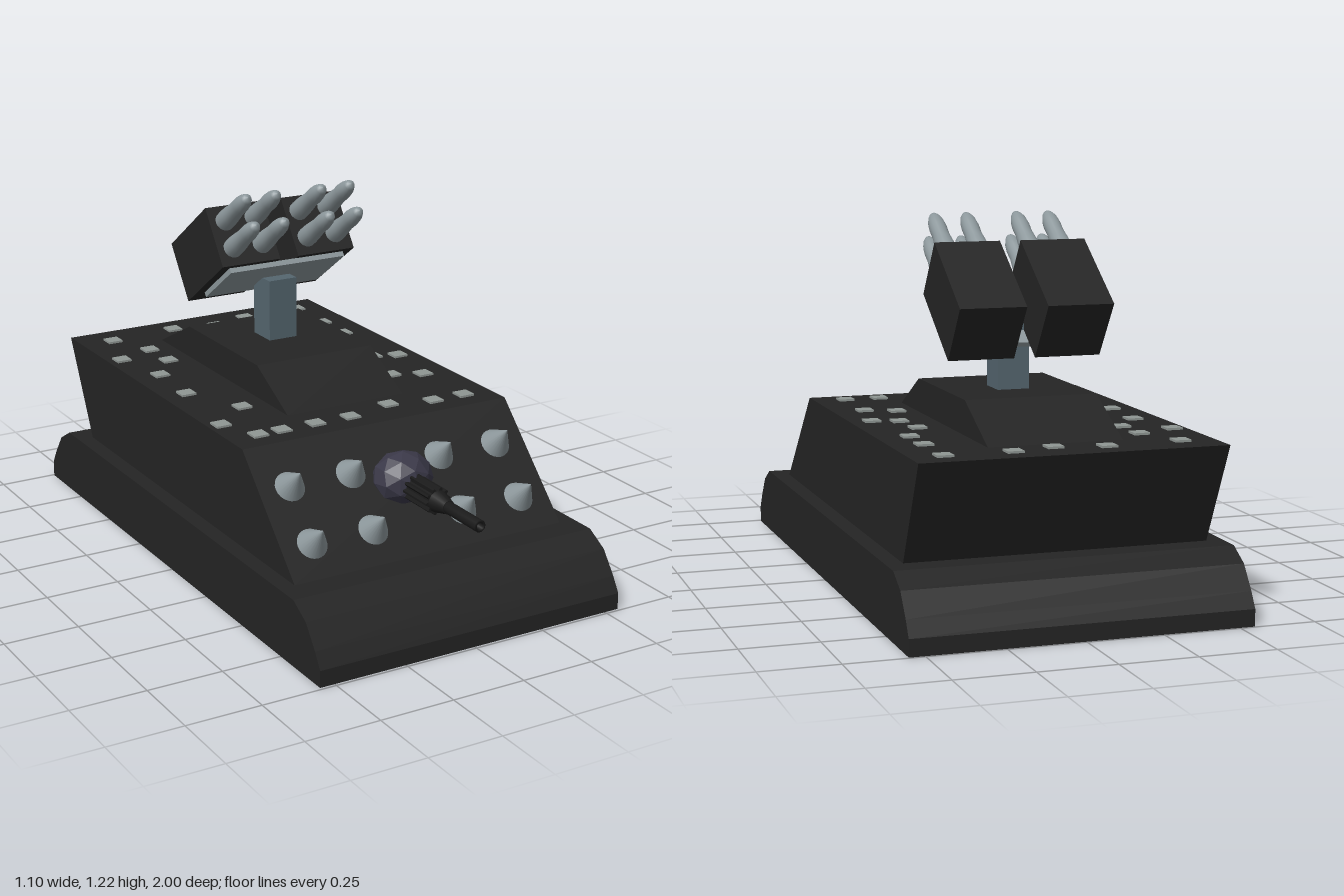
import * as THREE from 'three';

const mat = (name, color, flatShading = false) => {
  const m = new THREE.MeshStandardMaterial({ color, flatShading });
  m.name = name;
  return m;
};

export function createModel() {
  const armour = mat('black armour', 0x242424);
  const gunBlack = mat('gun black', 0x1a1a1a);
  const steel = mat('light steel', 0x8c979b);
  const rivet = mat('rivet grey', 0x8f9693);
  const post = mat('blue steel', 0x55666f);
  const mount = mat('violet iron', 0x3a3848, true);

  const model = new THREE.Group();
  model.name = 'armouredTank';
  const add = (name, geometry, material, x = 0, y = 0, z = 0, parent = model) => {
    const mesh = new THREE.Mesh(geometry, material);
    mesh.name = name;
    mesh.position.set(x, y, z);
    parent.add(mesh);
    return mesh;
  };
  const toShape = (points) => new THREE.Shape(points.map(([a, b]) => new THREE.Vector2(a, b)));
  // Side profile given as (z, y), extruded across the width
  const prism = (points, width) => new THREE.ExtrudeGeometry(toShape(points), { depth: width, bevelEnabled: false })
    .translate(0, 0, -width / 2).rotateY(-Math.PI / 2);

  // Body
  add('base', prism([[-0.995, 0], [0.99, 0], [0.99, 0.055], [0.96, 0.105], [0.905, 0.178], [0.83, 0.22],
    [-0.835, 0.22], [-0.91, 0.178], [-0.965, 0.105], [-0.995, 0.055]], 1.1), armour);
  add('hull', prism([[-0.75, 0.22], [0.74, 0.22], [0.41, 0.552], [-0.915, 0.552]], 0.99), armour);
  add('turret', prism([[-0.73, 0.55], [0.21, 0.55], [0, 0.664], [-0.5, 0.664]], 0.44), armour);

  // Scattered deck studs, (x, z)
  const studs = [[-0.38, -0.8], [-0.13, -0.82], [0.03, -0.785], [0.17, -0.82], [0.39, -0.82], [-0.31, -0.64],
    [-0.445, -0.585], [-0.305, -0.5], [0.39, -0.62], [0.39, -0.47], [-0.4, -0.37], [0.32, -0.32],
    [0.34, -0.18], [0.425, -0.15], [-0.41, -0.15], [-0.31, 0.06], [0.29, 0.025], [0.39, 0.07],
    [-0.45, 0.18], [0.12, 0.28], [-0.39, 0.32], [-0.305, 0.32], [-0.18, 0.32], [-0.05, 0.32],
    [0.27, 0.32], [0.39, 0.32]];
  const studGeometry = new THREE.BoxGeometry(0.052, 0.012, 0.052);
  for (const [x, z] of studs) add('deckStud', studGeometry, rivet, x, 0.553, z);

  // Spikes standing square on the sloped front plate
  const spikeGeometry = new THREE.ConeGeometry(0.051, 0.096, 24).translate(0, 0.048, 0).rotateX(Math.PI / 4);
  for (const x of [-0.386, -0.166, 0.166, 0.386]) {
    add('frontSpike', spikeGeometry, steel, x, 0.443, 0.517);
    add('frontSpike', spikeGeometry, steel, x, 0.303, 0.657);
  }

  // Front gun in a faceted ball mount
  add('gunBall', new THREE.IcosahedronGeometry(1, 1).scale(0.104, 0.09, 0.09), mount, 0, 0.413, 0.56);
  const teeth = [];
  for (let i = 0; i < 40; i++) {
    const r = i % 4 < 2 ? 0.045 : 0.034;
    const a = (i / 40) * Math.PI * 2;
    teeth.push([r * Math.cos(a), r * Math.sin(a)]);
  }
  add('gunJacket', new THREE.ExtrudeGeometry(toShape(teeth), { depth: 0.16, bevelEnabled: false }),
    gunBlack, 0, 0.405, 0.61);
  add('gunCollar', new THREE.CylinderGeometry(0.022, 0.036, 0.06, 16).rotateX(Math.PI / 2),
    gunBlack, 0, 0.405, 0.8);
  const barrel = [[0, 0], [0.02, 0], [0.02, 0.2], [0.011, 0.2], [0.011, 0.16], [0, 0.16]]
    .map(([r, h]) => new THREE.Vector2(r, h));
  add('gunBarrel', new THREE.LatheGeometry(barrel, 16).rotateX(Math.PI / 2), gunBlack, 0, 0.405, 0.8);

  // Launcher post and tilted launcher
  add('launcherPost', new THREE.BoxGeometry(0.106, 0.225, 0.112), post, 0, 0.763, -0.273);
  const launcher = new THREE.Group();
  launcher.name = 'launcher';
  launcher.position.set(0, 0.96, -0.365);
  launcher.rotation.x = -THREE.MathUtils.degToRad(35);
  model.add(launcher);
  add('launcherPlate', new THREE.BoxGeometry(0.44, 0.018, 0.23), steel, 0, -0.116, 0.025, launcher);

  const podGeometry = new THREE.BoxGeometry(0.219, 0.215, 0.323);
  const profile = [[0.034, 0], [0.034, 0.03], [0.032, 0.06], [0.028, 0.1], [0.029, 0.14],
    [0.026, 0.17], [0.019, 0.193], [0.013, 0.204], [0, 0.208]].map(([r, h]) => new THREE.Vector2(r, h));
  const missileGeometry = new THREE.LatheGeometry(profile, 16).rotateX(Math.PI / 2);
  for (const side of [-1, 1]) {
    add('missilePod', podGeometry, armour, side * 0.1445, 0, 0, launcher);
    for (const x of [0.087, 0.197]) {
      for (const y of [-0.046, 0.052]) add('missile', missileGeometry, steel, side * x, y, 0.16, launcher);
    }
  }
  return model;
}
